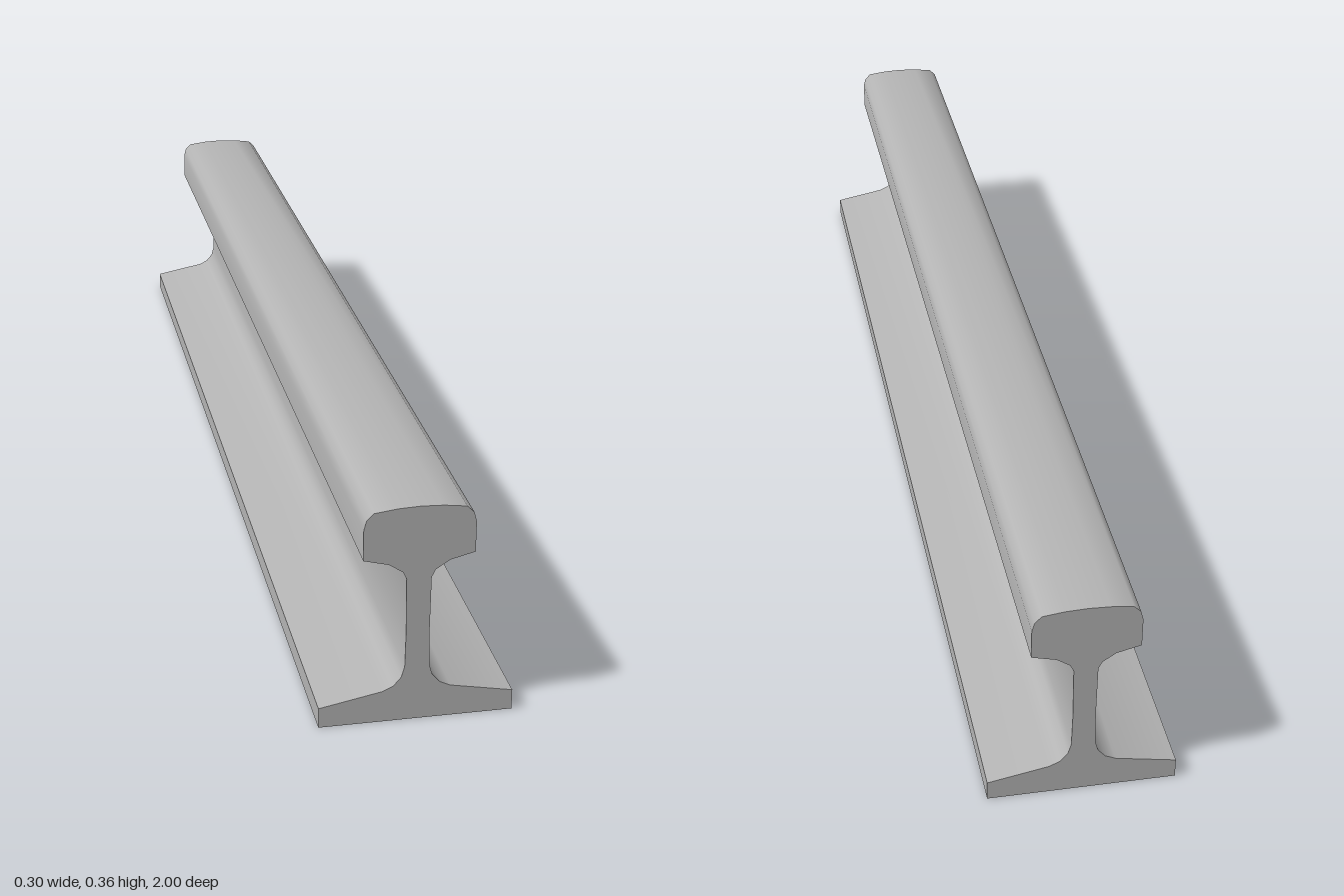
import * as THREE from 'three';
import { toCreasedNormals } from 'three/addons/utils/BufferGeometryUtils.js';

export function createModel() {
  const group = new THREE.Group();
  group.name = 'railSection';

  const steel = new THREE.MeshStandardMaterial({ color: 0xb4b4b4 });
  steel.name = 'steelGrey';

  // Right half of the cross-section, from the foot up to the crown
  const half = [
    [0.151, 0], [0.151, 0.033],                                    // foot
    [0.053, 0.052], [0.036, 0.06], [0.024, 0.074], [0.019, 0.092], // lower fillet
    [0.018, 0.15], [0.019, 0.24], [0.025, 0.252], [0.046, 0.266],  // web and upper fillet
    [0.085, 0.276], [0.085, 0.326], [0.081, 0.341], [0.07, 0.352], // head
    [0.035, 0.3565],
  ];
  const mirrored = half.map(([x, y]) => [-x, y]).reverse();
  const outline = [...half, [0, 0.358], ...mirrored];
  const shape = new THREE.Shape(outline.map(([x, y]) => new THREE.Vector2(x, y)));

  // Straight run along z, with rounded fillets and sharp edges
  const length = 2;
  const geometry = new THREE.ExtrudeGeometry(shape, { depth: length, bevelEnabled: false });
  geometry.translate(0, 0, -length / 2);

  const rail = new THREE.Mesh(toCreasedNormals(geometry, THREE.MathUtils.degToRad(42)), steel);
  rail.name = 'rail';
  group.add(rail);
  return group;
}
